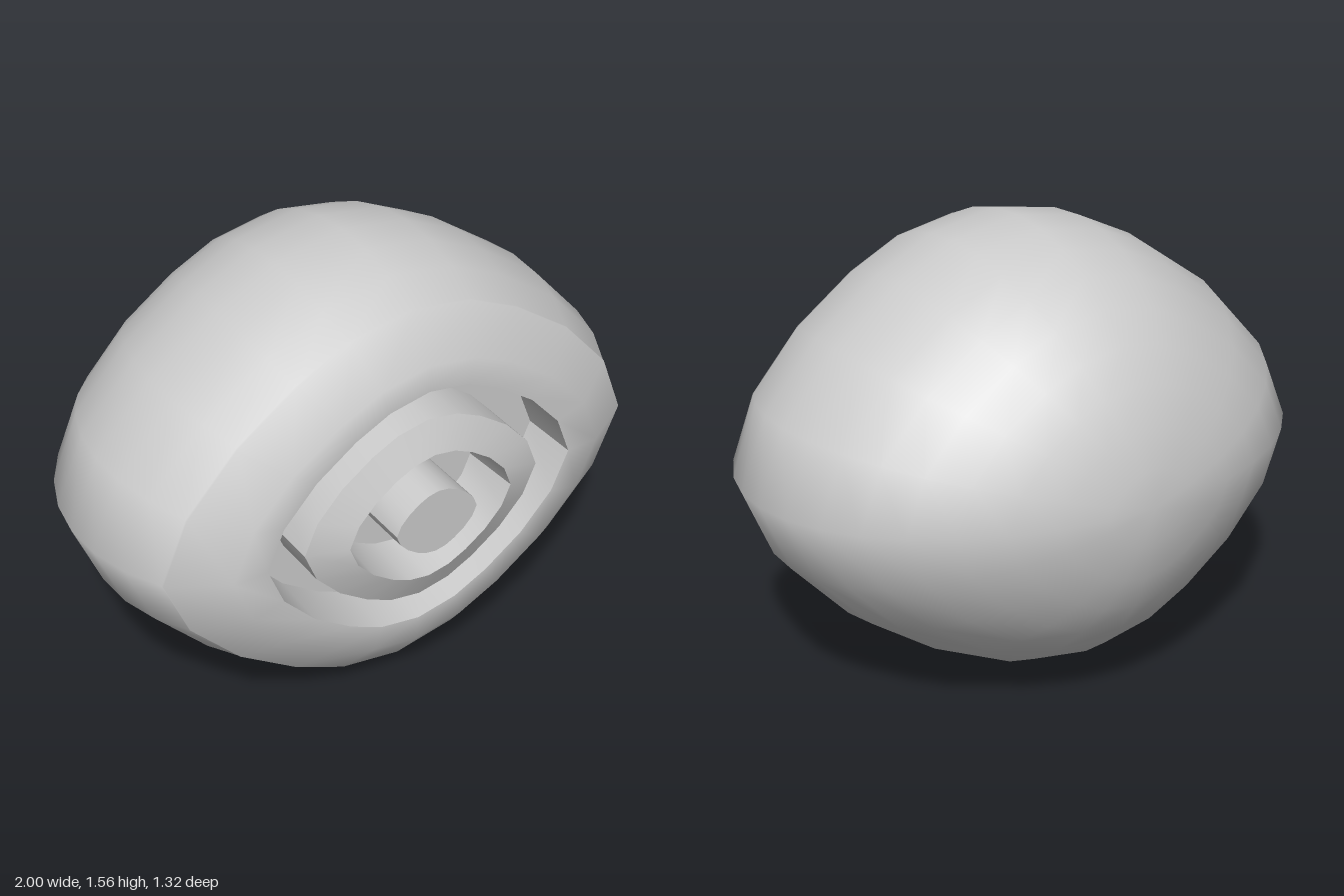
import * as THREE from 'three';
import { mergeVertices, toCreasedNormals } from 'three/addons/utils/BufferGeometryUtils.js';

// One quadrant of the almond-shaped cross-section, from side tip to top
const QUADRANT = [[1, 0], [0.9, 0.245], [0.7, 0.465], [0.46, 0.635], [0.25, 0.737], [0, 0.782]];

// Full counter-clockwise outline made by mirroring the quadrant
function almondOutline() {
  const upper = [...QUADRANT, ...QUADRANT.slice(0, -1).reverse().map(([x, y]) => [-x, y])];
  return [...upper, ...upper.slice(1, -1).reverse().map(([x, y]) => [x, -y])];
}

// Sweeps the outline through a profile of [scale, z] pairs
function loft(profile) {
  const outline = almondOutline();
  const n = outline.length;
  const positions = [];
  const index = [];
  for (const [r, z] of profile) {
    for (const [x, y] of outline) positions.push(x * r, y * r, z);
  }
  for (let j = 0; j < profile.length - 1; j++) {
    for (let i = 0; i < n; i++) {
      const k = (i + 1) % n;
      const a = j * n + i, b = j * n + k, c = a + n, d = b + n;
      if (profile[j][0] > 0) index.push(a, b, d);
      if (profile[j + 1][0] > 0) index.push(a, d, c);
    }
  }
  const geometry = new THREE.BufferGeometry();
  geometry.setAttribute('position', new THREE.Float32BufferAttribute(positions, 3));
  geometry.setIndex(index);
  const welded = mergeVertices(geometry, 1e-5);
  welded.computeVertexNormals();
  return welded;
}

export function createModel() {
  const group = new THREE.Group();
  const material = new THREE.MeshStandardMaterial({ color: 0xcccccc, side: THREE.DoubleSide });
  const add = (name, geometry) => {
    const mesh = new THREE.Mesh(geometry, material);
    mesh.name = name;
    group.add(mesh);
  };
  const crisp = (profile) => toCreasedNormals(loft(profile), 0.6);

  // Smooth body: domed back, bulging sides, flattened front with an opening
  const dome = [];
  for (let i = 0; i <= 12; i++) {
    const a = -Math.PI / 2 + (i / 12) * (Math.PI / 2 + 0.47);
    dome.push([i === 0 ? 0 : Math.cos(a), 0.78 * Math.sin(a)]);
  }
  add('body', loft([...dome, [0.89, 0.36], [0.705, 0.468], [0.585, 0.47]]));

  // Recess around the ring
  add('socket', crisp([[0.585, 0.47], [0.58, 0.27], [0.45, 0.27]]));

  // Bevelled ring with its inner well
  add('ring', crisp([[0.45, 0.27], [0.45, 0.468], [0.312, 0.514], [0.3, 0.31], [0.155, 0.31]]));

  // Central peg
  add('peg', crisp([[0.155, 0.31], [0.155, 0.542], [0, 0.542]]));

  // Slight forward lean
  group.rotation.x = 0.022;
  group.position.set(0, 0.785, 0.12);
  const model = new THREE.Group();
  model.add(group);
  return model;
}
